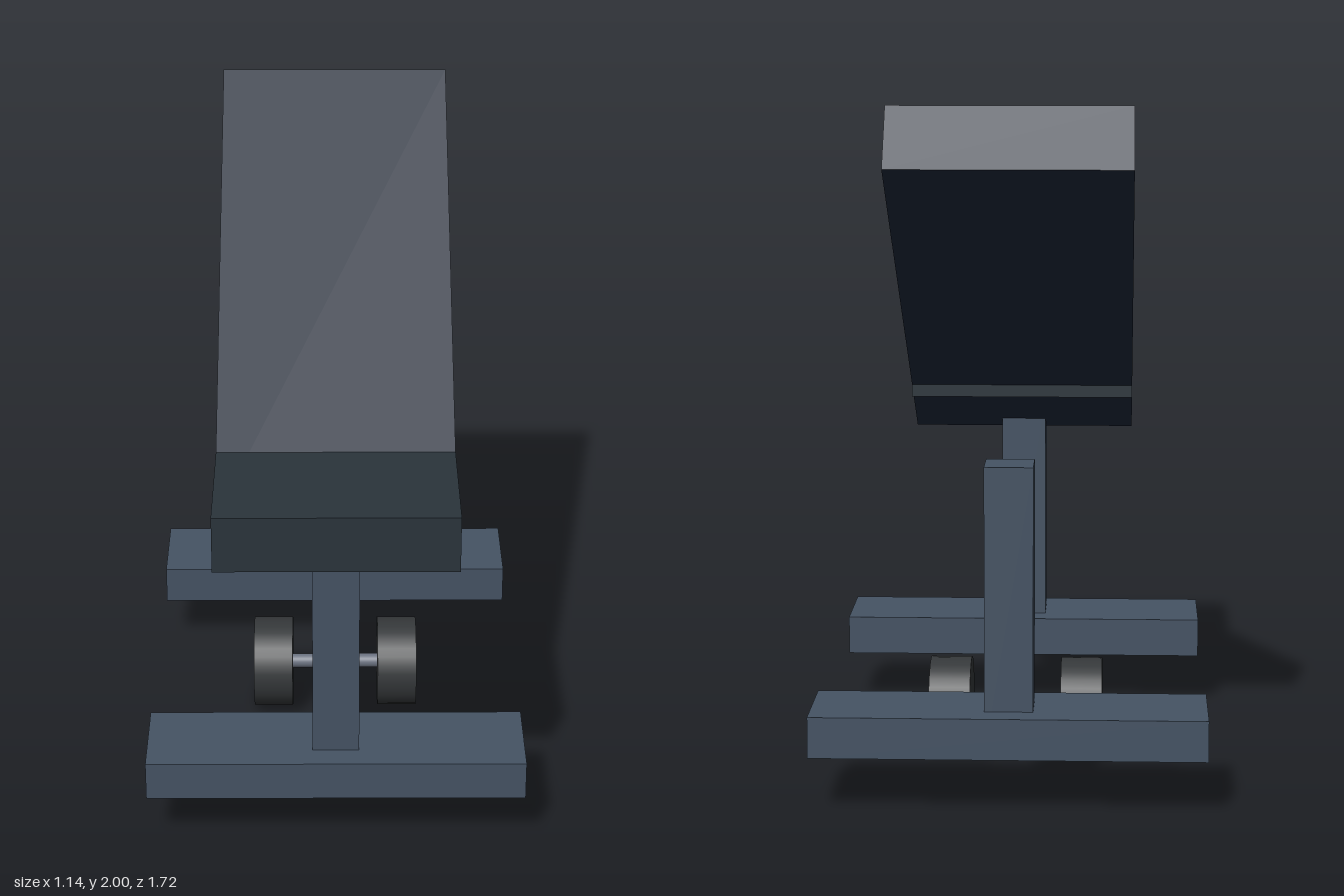
import * as THREE from 'three';

export function createModel() {
  const model = new THREE.Group();
  model.name = 'weightBench';

  const paint = (color) => new THREE.MeshStandardMaterial({ color });
  const frame = paint(0x455364);
  const backPad = paint(0x1e293b);
  const seatPad = paint(0x2a343b);
  const iron = paint(0x35383a);
  const steel = paint(0x6b7280);

  const add = (parent, name, geometry, material, x, y, z) => {
    const mesh = new THREE.Mesh(geometry, material);
    mesh.name = name;
    mesh.position.set(x, y, z);
    parent.add(mesh);
    return mesh;
  };
  const box = (name, material, size, position) =>
    add(model, name, new THREE.BoxGeometry(...size), material, ...position);

  // Pads: flat seat and inclined backrest
  box('seat', seatPad, [0.7, 0.17, 0.6], [0, 1.115, 0.56]);
  box('backrest', backPad, [0.7, 0.21, 1.6], [0, 1.45, -0.093]).rotation.x = 0.62;

  // Two uprights, each on a wide foot
  for (const [side, z] of [['front', 0.525], ['rear', -0.706]]) {
    box(side + 'Foot', frame, [1.14, 0.12, 0.3], [0, 0.22, z]);
    box(side + 'Post', frame, [0.14, 0.84, 0.14], [0, 0.57, z]);
  }

  // Dumbbell lying on the floor between the feet
  const dumbbell = new THREE.Group();
  dumbbell.name = 'dumbbell';
  dumbbell.position.set(0, 0.144, -0.178);
  const rod = (name, material, radius, length, x) => {
    add(dumbbell, name, new THREE.CylinderGeometry(radius, radius, length, 32), material, x, 0, 0)
      .rotation.z = Math.PI / 2;
  };
  rod('handle', steel, 0.023, 0.4, 0);
  rod('leftWeight', iron, 0.144, 0.125, 0.2);
  rod('rightWeight', iron, 0.144, 0.125, -0.2);
  model.add(dumbbell);

  return model;
}
